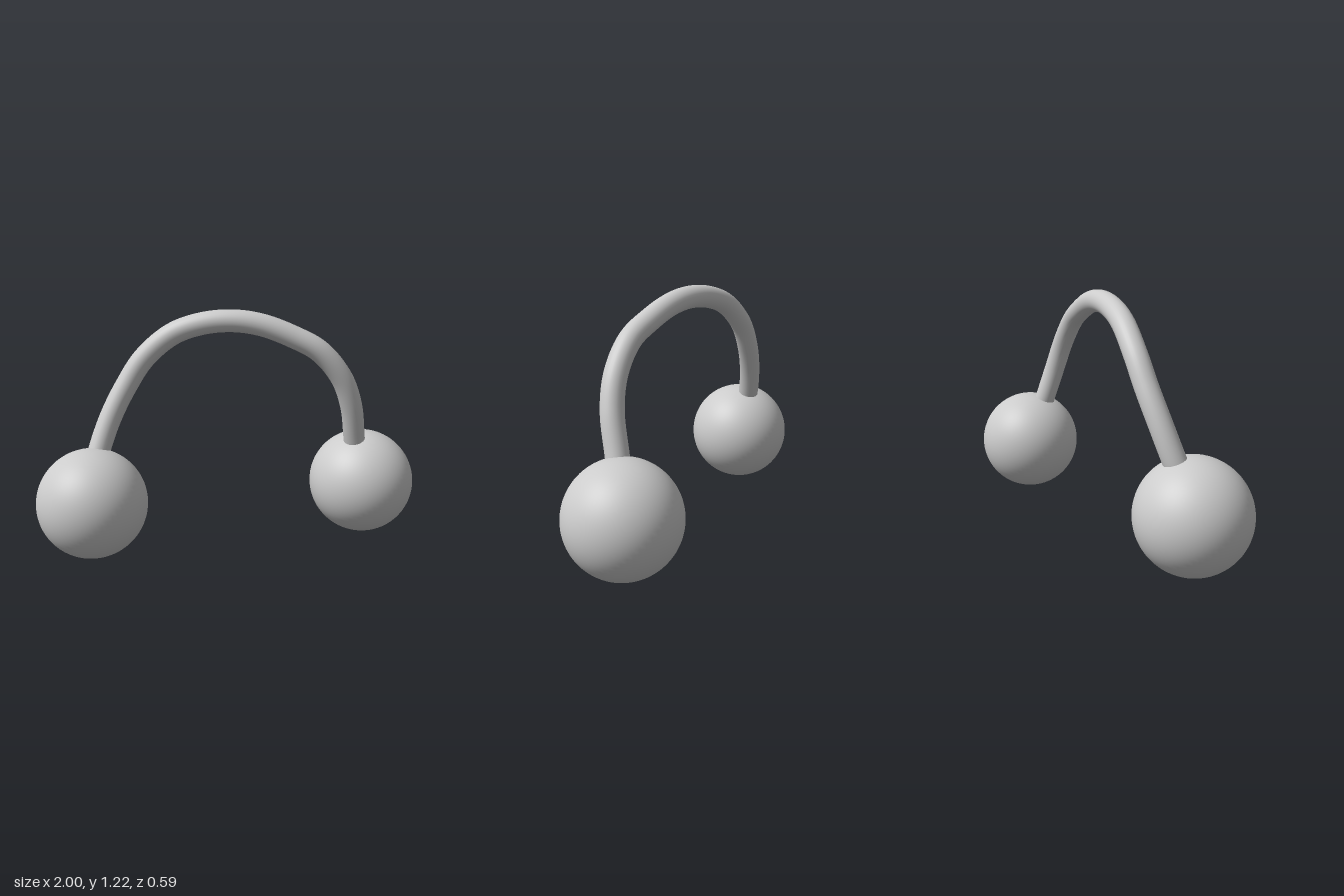
import * as THREE from 'three';

const material = new THREE.MeshStandardMaterial({ color: 0xcccccc });

function ball(name, x, y, z) {
  const mesh = new THREE.Mesh(new THREE.SphereGeometry(0.277, 64, 40), material);
  mesh.name = name;
  mesh.position.set(x, y, z);
  return mesh;
}

export function createModel() {
  const group = new THREE.Group();
  group.name = 'arched dumbbell';

  // End weights, slightly offset in depth
  group.add(ball('rightBall', -0.723, 0.28, 0.014));
  group.add(ball('leftBall', 0.723, 0.282, -0.02));

  // Arched bar with a gentle S-curve in depth; both ends sink into the balls
  const path = [
    [-0.71, 0.42, -0.025], [-0.668, 0.55, -0.063], [-0.605, 0.7, -0.092],
    [-0.525, 0.845, -0.107], [-0.43, 0.985, -0.103], [-0.29, 1.105, -0.072],
    [-0.15, 1.157, -0.037], [0, 1.172, 0], [0.14, 1.152, 0.034],
    [0.29, 1.095, 0.07], [0.425, 1.02, 0.1], [0.54, 0.885, 0.108],
    [0.605, 0.735, 0.092], [0.648, 0.55, 0.047], [0.675, 0.42, 0.015],
  ].map((p) => new THREE.Vector3(...p));
  const bar = new THREE.Mesh(
    new THREE.TubeGeometry(new THREE.CatmullRomCurve3(path), 120, 0.056, 28, false),
    material
  );
  bar.name = 'archedBar';
  group.add(bar);

  return group;
}
